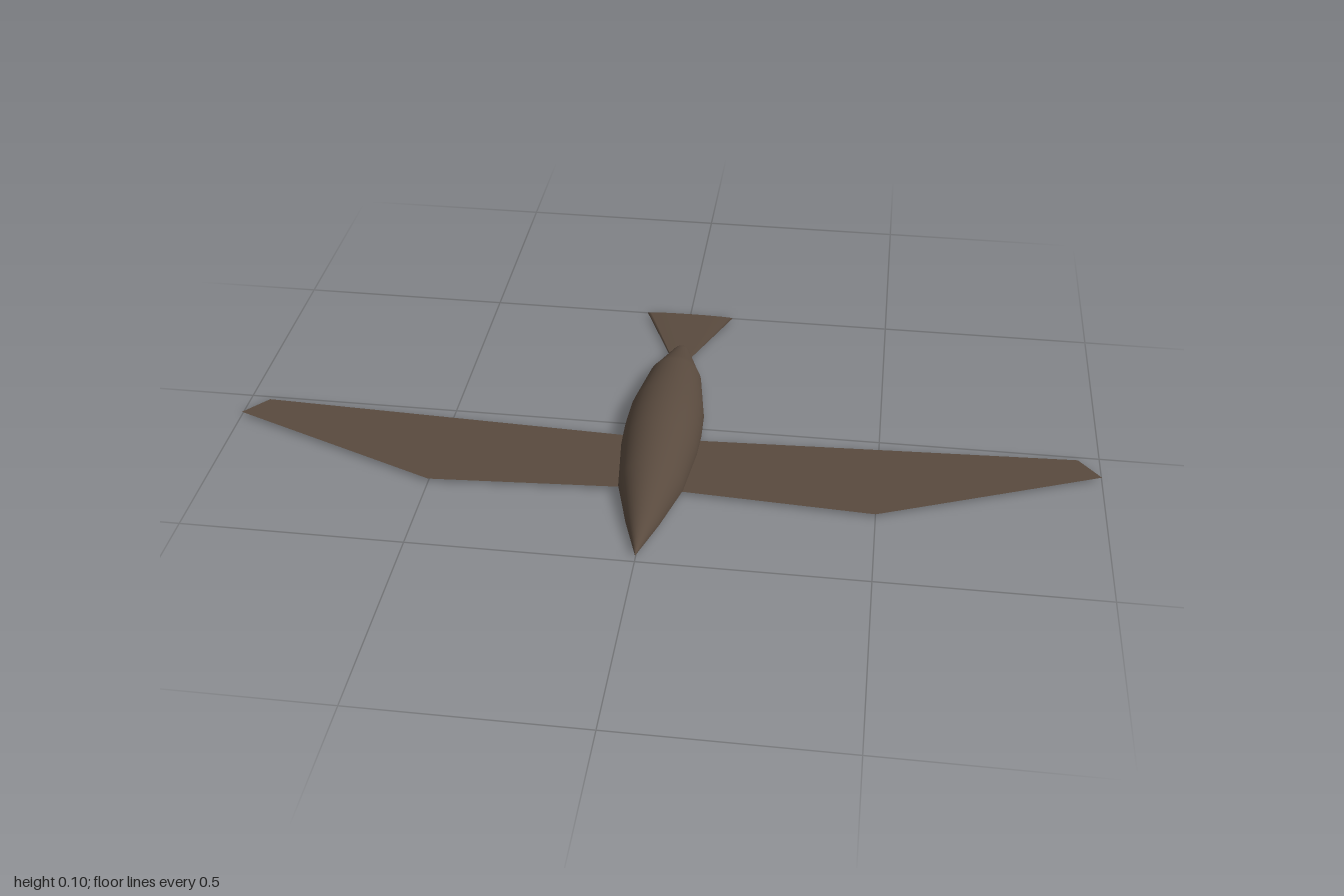
import * as THREE from 'three';

const BASE = 0.008; // height of the flat underside

export function createModel() {
  const group = new THREE.Group();
  const brown = new THREE.MeshStandardMaterial({ color: 0x594a3e, side: THREE.DoubleSide });
  brown.name = 'feather brown';

  const add = (name, geometry, y) => {
    const mesh = new THREE.Mesh(geometry, brown);
    mesh.name = name;
    mesh.position.y = y;
    group.add(mesh);
  };

  // Outline in (x, z) laid flat, facing up
  const flat = (points) => {
    const shape = new THREE.Shape(points.map(([x, z]) => new THREE.Vector2(x, -z)));
    return new THREE.ShapeGeometry(shape).rotateX(-Math.PI / 2);
  };

  // Body: half of a turned profile, radius against z
  const profile = [
    [0, -0.325], [0.012, -0.325], [0.018, -0.315], [0.022, -0.305], [0.053, -0.215], [0.064, -0.185],
    [0.087, -0.04], [0.09, 0.04], [0.088, 0.11], [0.073, 0.25], [0.037, 0.38], [0, 0.49],
  ];
  const body = new THREE.LatheGeometry(
    profile.map(([r, z]) => new THREE.Vector2(r, z)), 20, Math.PI / 2, Math.PI);
  body.rotateX(Math.PI / 2);
  add('body', body, BASE);

  // Flat belly closing the half body
  const mirrored = profile.slice(1, -1).reverse().map(([r, z]) => [-r, z]);
  add('belly', flat([...profile.slice(1), ...mirrored]), BASE);

  // Wings: one thin sheet per side
  for (const [name, s] of [['leftWing', 1], ['rightWing', -1]]) {
    add(name, flat([
      [0, 0.25], [s * 0.5, 0.28], [s * 1, 0.08], [s * 0.95, 0.02], [0, 0.06],
    ]), BASE - 0.001);
  }

  // Tail fan: a flattened cone with its tip under the body
  const tail = new THREE.ConeGeometry(0.11, 0.26, 16);
  tail.rotateX(Math.PI / 2).scale(1, 0.036, 1).translate(0, 0, -0.365);
  add('tail', tail, 0.004);

  return group;
}
